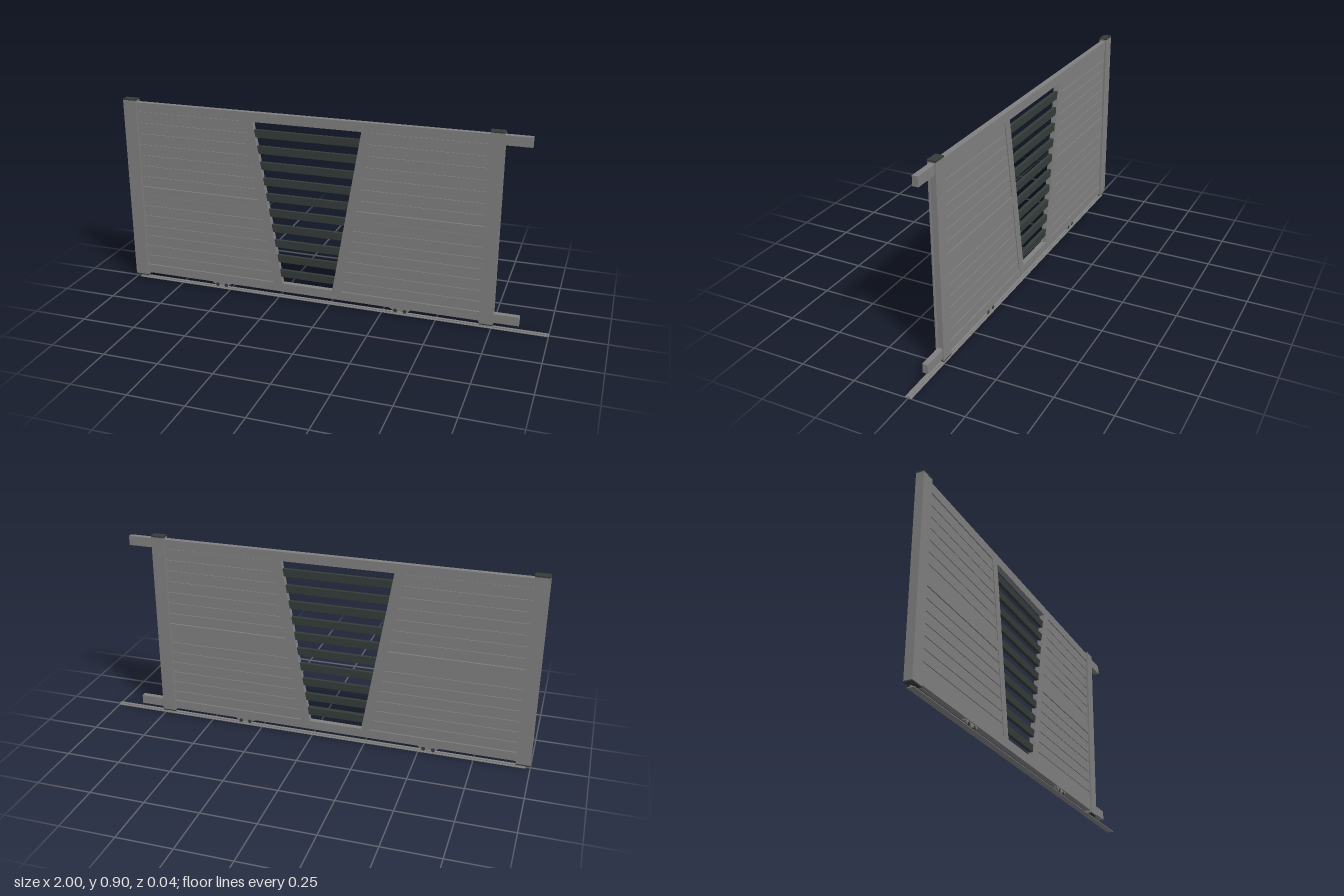
import * as THREE from 'three';

const material = (name, color) => {
  const m = new THREE.MeshStandardMaterial({ color });
  m.name = name;
  return m;
};

export function createModel() {
  const gate = new THREE.Group();
  gate.name = 'slidingGate';
  const grey = material('aluminiumGrey', 0x808080);
  const dark = material('darkGrey', 0x343b39);

  const add = (name, geometry, mat) => {
    const mesh = new THREE.Mesh(geometry, mat);
    mesh.name = name;
    gate.add(mesh);
    return mesh;
  };
  const box = (name, x0, x1, y0, y1, halfZ, mat = grey, z = 0) =>
    add(name, new THREE.BoxGeometry(x1 - x0, y1 - y0, halfZ * 2), mat)
      .position.set((x0 + x1) / 2, (y0 + y1) / 2, z);
  // Upright prism from an outline in the front plane
  const prism = (name, points, halfZ, mat = grey) => {
    const shape = new THREE.Shape(points.map(p => new THREE.Vector2(...p)));
    const g = new THREE.ExtrudeGeometry(shape, { depth: halfZ * 2, bevelEnabled: false });
    return add(name, g.translate(0, 0, -halfZ), mat);
  };

  const low = 0.072, high = 0.843, midLow = 0.433, midHigh = 0.476;
  const postL = -0.935, postR = 0.695;
  const at = (bottom, top) => y => bottom + (top - bottom) * (y - low) / (high - low);
  const leftOuter = at(-0.275, -0.404), leftInner = at(-0.233, -0.361);
  const rightInner = at(0.013, 0.144), rightOuter = at(0.056, 0.187);
  // Four-sided strip whose ends follow two slanted or upright edges
  const strip = (name, a, b, y0, y1, halfZ, mat) =>
    prism(name, [[a(y0), y0], [b(y0), y0], [b(y1), y1], [a(y1), y1]], halfZ, mat);

  // Posts; the right one has a shallow channel on its outer side
  box('leftPost', -1, postL, 0.02, 0.894, 0.018);
  box('rightPost', postR, 0.75, 0.02, 0.894, 0.018);
  for (const s of [-1, 1]) box('rightPostFlange', 0.75, 0.757, 0.02, 0.894, 0.003, grey, s * 0.015);
  for (const [x0, x1] of [[-1, postL], [postR, 0.757]]) {
    box('postTopCap', x0, x1, 0.894, 0.9, 0.019, dark);
    box('postBottomCap', x0, x1, 0.015, 0.02, 0.018, dark);
  }

  // Horizontal rails running past the right post
  box('topRail', postL, 0.87, high, 0.886, 0.0125);
  box('bottomRail', postL, 0.87, 0.03, low, 0.0125);

  // Slanted bars around the open centre
  strip('leftSlantedBar', leftOuter, leftInner, low, high, 0.0125);
  strip('rightSlantedBar', rightInner, rightOuter, low, high, 0.0125);

  // Slatted panels: core sheet, boards with narrow grooves, middle rail
  const panels = [['left', () => postL, leftOuter], ['right', rightOuter, () => postR]];
  for (const [side, a, b] of panels) {
    strip(side + 'PanelCore', a, b, low, high, 0.005);
    strip(side + 'MiddleRail', a, b, midLow, midHigh, 0.0125);
    for (const [y0, y1] of [[low, midLow], [midHigh, high]]) {
      const step = (y1 - y0) / 7;
      for (let i = 0; i < 7; i++) {
        strip(side + 'PanelBoard', a, b, y0 + i * step + 0.002, y0 + (i + 1) * step - 0.002, 0.009);
      }
    }
  }

  // Dark louvres across the opening
  for (let i = 0; i < 10; i++) {
    const y = 0.121 + i * 0.0742;
    strip('louvre', leftInner, rightInner, y - 0.0175, y + 0.0175, 0.008, dark);
  }

  // Roller carriages under the bottom rail
  for (const x of [-0.545, 0.335]) {
    prism('rollerCarriage', [[x - 0.032, 0.014], [x + 0.032, 0.014], [x + 0.048, 0.026],
      [x + 0.048, 0.03], [x - 0.048, 0.03], [x - 0.048, 0.026]], 0.008);
    for (const dx of [-0.022, 0.022]) {
      const wheel = add('rollerWheel', new THREE.CylinderGeometry(0.009, 0.009, 0.019, 20), dark);
      wheel.rotation.x = Math.PI / 2;
      wheel.position.set(x + dx, 0.017, 0);
    }
  }

  // Ground track: flat strip with a rounded running bead
  box('trackPlate', -0.98, 1, 0, 0.003, 0.015);
  const bead = add('trackBead', new THREE.CylinderGeometry(0.005, 0.005, 1.98, 12), grey);
  bead.rotation.z = Math.PI / 2;
  bead.position.set(0.01, 0.005, 0);

  return gate;
}
